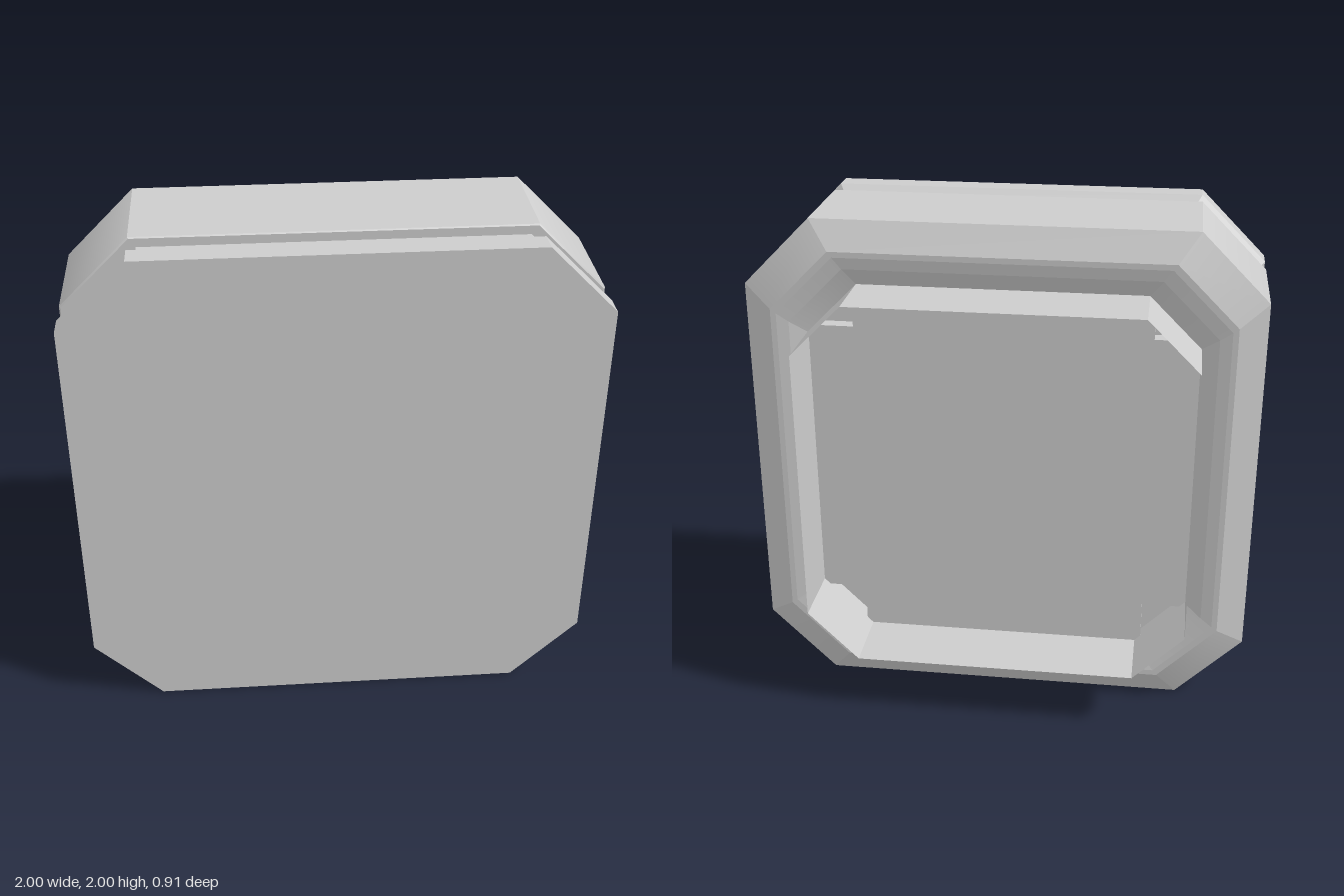
import * as THREE from 'three';

const CUT = 0.735; // where the corner chamfer starts, as a share of the half width

// Chamfered square, counter-clockwise seen from +z
function octagon(h) {
  const c = h * CUT;
  return [[h, -c], [h, c], [c, h], [-c, h], [-h, c], [-h, -c], [-c, -h], [c, -h]];
}

// Skin through [halfWidth, z] rings, listed from front to back
function loft(rings) {
  const pos = [];
  for (let r = 0; r < rings.length - 1; r++) {
    const [h0, z0] = rings[r], [h1, z1] = rings[r + 1];
    const a = octagon(h0), b = octagon(h1);
    for (let i = 0; i < 8; i++) {
      const j = (i + 1) % 8;
      pos.push(...a[i], z0, ...b[i], z1, ...a[j], z0);
      pos.push(...b[i], z1, ...b[j], z1, ...a[j], z0);
    }
  }
  const g = new THREE.BufferGeometry();
  g.setAttribute('position', new THREE.Float32BufferAttribute(pos, 3));
  g.computeVertexNormals();
  return g;
}

// Lean the normals of the corner faces towards the sides next to them
function softenCorners(g) {
  const normal = g.attributes.normal, flat = normal.clone();
  const n = new THREE.Vector3(), side = new THREE.Vector3();
  for (let q = 0; q < normal.count / 6; q++) {
    if (q % 2 === 0) continue;
    const next = q % 8 === 7 ? q - 7 : q + 1;
    [q - 1, q - 1, next, q - 1, next, next].forEach((neighbour, k) => {
      n.fromBufferAttribute(flat, q * 6 + k);
      side.fromBufferAttribute(flat, neighbour * 6);
      n.addScaledVector(side, 0.4).normalize();
      normal.setXYZ(q * 6 + k, n.x, n.y, n.z);
    });
  }
  return g;
}

const outline = points => new THREE.Shape(points.map(p => new THREE.Vector2(...p)));
const panel = (points, z) => new THREE.ShapeGeometry(outline(points)).translate(0, 0, z);

export function createModel() {
  const group = new THREE.Group();
  const grey = new THREE.MeshStandardMaterial({ color: 0xcccccc, side: THREE.DoubleSide });
  grey.name = 'light grey';
  const add = (name, geometry) => {
    const m = new THREE.Mesh(geometry, grey);
    m.name = name;
    m.position.y = 1;
    group.add(m);
  };

  // Front plate with tapered rear edge
  add('frontFace', panel(octagon(1), 0.454));
  add('frontRim', loft([[1, 0.454], [1, 0.365], [0.962, 0.32]]));

  // Recessed groove between plate and body
  add('groove', loft([[0.962, 0.32], [0.962, 0.265]]));

  // Body with bevelled back, then a lip sinking to the collar
  add('body', softenCorners(loft([
    [0.962, 0.265], [0.995, 0.265], [1, 0.26], [1, -0.165], [0.89, -0.225],
    [0.868, -0.225], [0.822, -0.217], [0.757, -0.19],
  ])));

  // Thin open collar at the back
  const h = 0.757, c = h * CUT, n = 0.58;
  add('collar', loft([[h, -0.12], [h, -0.455]]));

  // Collar floor, a thick plate with square notches in its corners
  const cross = outline([
    [h, -c], [h, n], [n, n], [n, h], [-n, h], [-n, n],
    [-h, n], [-h, -n], [-n, -n], [-n, -h], [n, -h], [n, -n], [h, -n],
  ].slice(1));
  add('collarFloor', new THREE.ExtrudeGeometry(cross, { depth: 0.055, bevelEnabled: false })
    .translate(0, 0, -0.175));
  add('notchFloor', panel(octagon(h), -0.12));
  return group;
}
